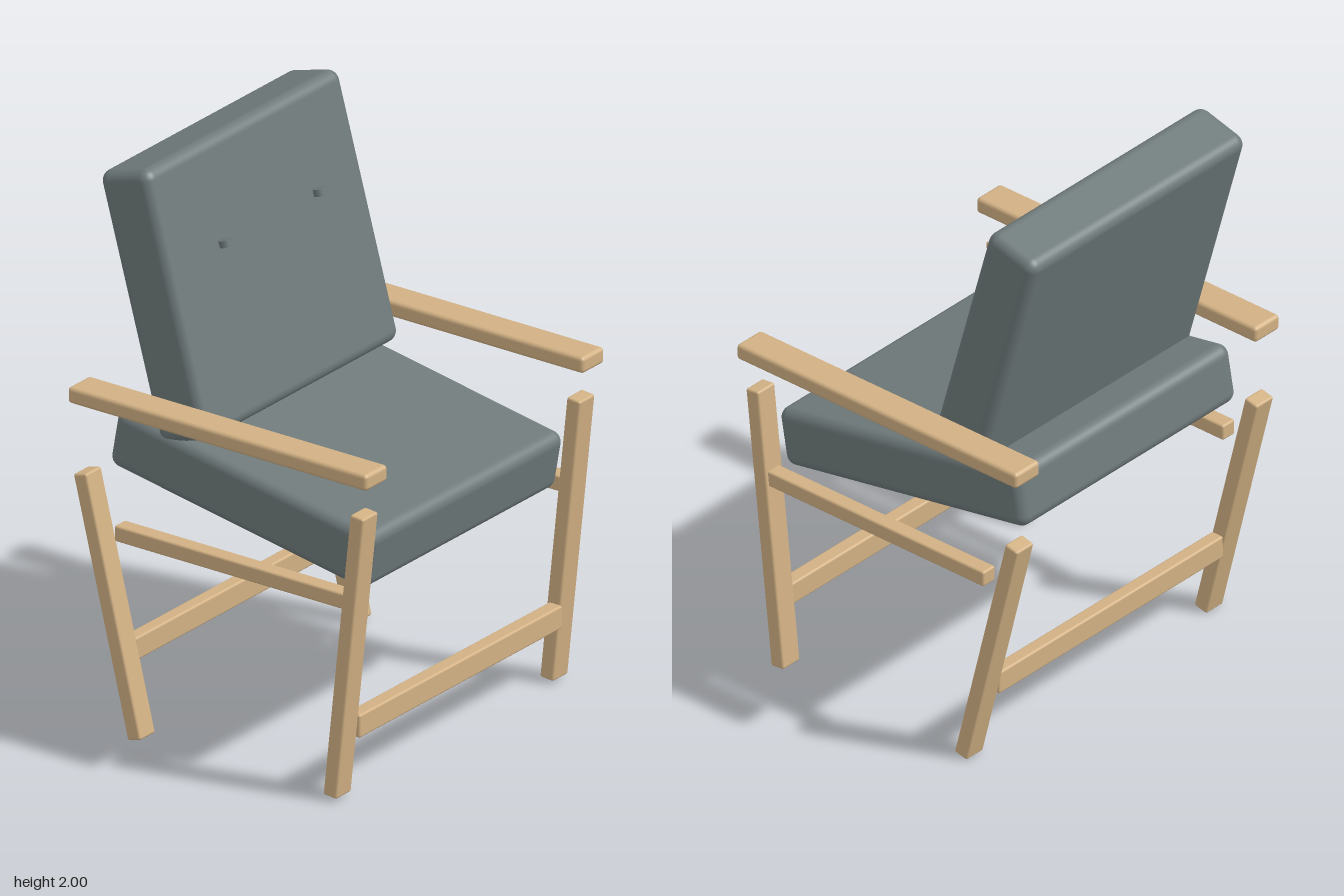
import * as THREE from 'three';
import { RoundedBoxGeometry } from 'three/addons/geometries/RoundedBoxGeometry.js';

export function createModel() {
  const chair = new THREE.Group();
  chair.name = 'armchair';

  const wood = new THREE.MeshStandardMaterial({ color: 0xd2b184 });
  wood.name = 'wood';
  const fabric = new THREE.MeshStandardMaterial({ color: 0x6f7a7b });
  fabric.name = 'greyFabric';

  // Rounded block of size [x, y, z] at a position, tilted about x
  function block(name, material, size, position, tilt = 0, radius = 0.008, segments = 2) {
    const mesh = new THREE.Mesh(new RoundedBoxGeometry(...size, segments, radius), material);
    mesh.name = name;
    mesh.position.set(...position);
    mesh.rotation.x = tilt;
    chair.add(mesh);
    return mesh;
  }

  // Cushions
  const backTilt = -0.272;
  block('seatCushion', fabric, [1.075, 0.213, 1.07], [0, 0.924, 0], 0.175, 0.04, 5);
  block('backCushion', fabric, [1.075, 0.945, 0.215], [0, 1.525, -0.357], backTilt, 0.04, 5);

  // Parts repeated on both sides
  for (const [side, s] of [['left', 1], ['right', -1]]) {
    block(side + 'Armrest', wood, [0.122, 0.058, 1.225], [s * 0.598, 1.188, -0.002], 0, 0.014, 3);
    block(side + 'FrontLeg', wood, [0.085, 1.04, 0.055], [s * 0.598, 0.532, 0.502], 0.107);
    block(side + 'BackLeg', wood, [0.085, 0.927, 0.055], [s * 0.598, 0.457, -0.466], -0.243);
    block(side + 'SideRail', wood, [0.06, 0.057, 0.95], [s * 0.598, 0.724, 0.03]);

    // Button in front of the back cushion
    const button = new THREE.Mesh(new THREE.CylinderGeometry(0.022, 0.022, 0.024, 20), fabric);
    button.name = side + 'Button';
    button.position.set(s * 0.26, 1.687, -0.262);
    button.rotation.x = backTilt;
    chair.add(button);
  }

  // Stretchers between the legs
  block('frontStretcher', wood, [1.12, 0.083, 0.055], [0, 0.255, 0.484]);
  block('backStretcher', wood, [1.12, 0.083, 0.05], [0, 0.292, -0.43]);

  return chair;
}
